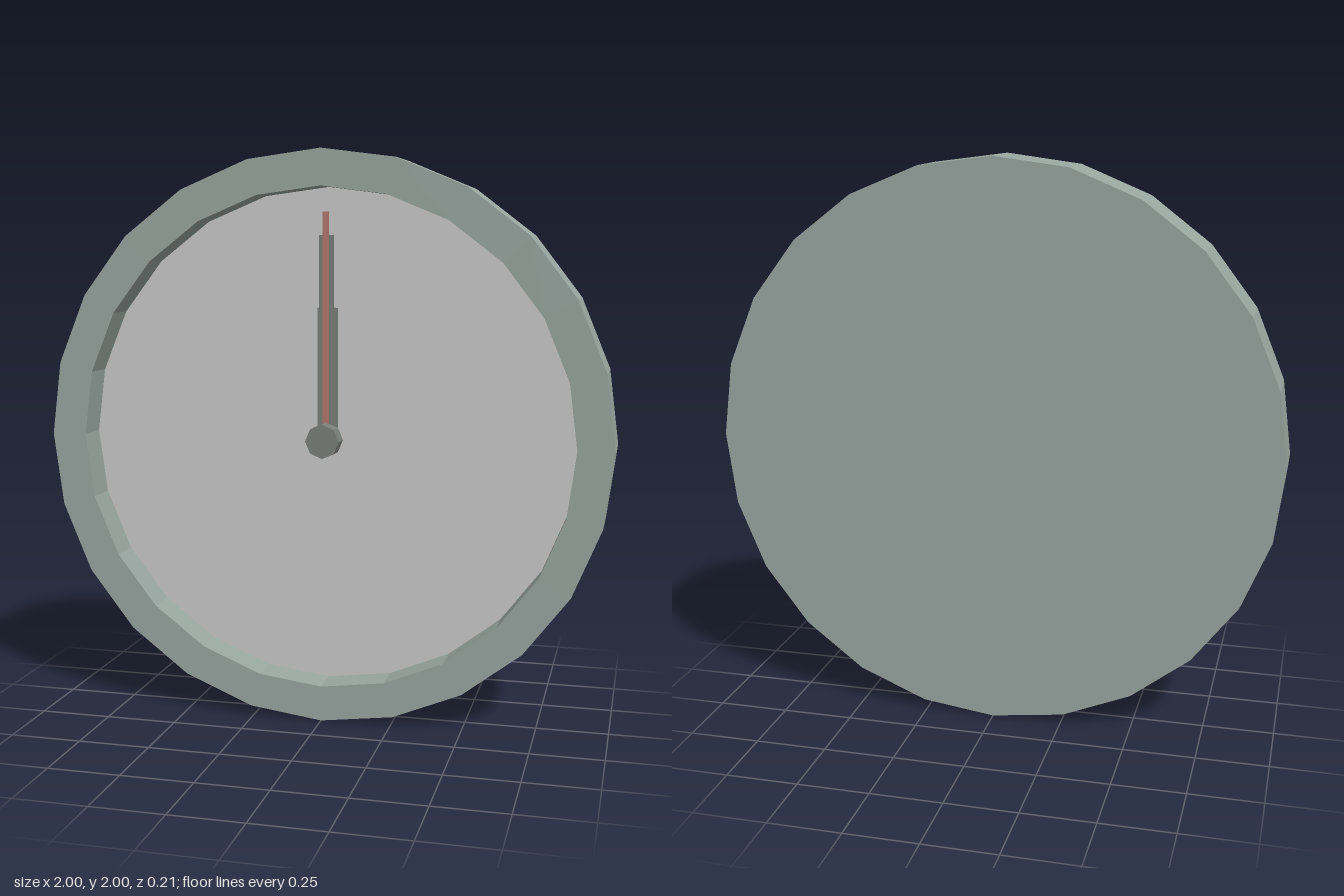
import * as THREE from 'three';

const mat = (color) => new THREE.MeshStandardMaterial({ color, flatShading: true });

export function createModel() {
  const clock = new THREE.Group();
  clock.name = 'wallClock';

  const add = (name, geometry, material, y, z) => {
    const mesh = new THREE.Mesh(geometry, material);
    mesh.name = name;
    mesh.position.set(0, y, z);
    clock.add(mesh);
    return mesh;
  };

  const SIDES = 24, HALF = 0.105, INNER = 0.875, FACE_Z = -0.015;
  const dark = mat(0x7a807c);

  // Casing: closed back, outer wall, front rim and recessed inner wall
  const profile = [[0, -HALF], [1, -HALF], [1, HALF], [INNER, HALF], [INNER, FACE_Z]]
    .map(([r, h]) => new THREE.Vector2(r, h));
  add('casing', new THREE.LatheGeometry(profile, SIDES), mat(0x9aa7a1), 1, 0).rotation.x = Math.PI / 2;

  // Dial at the bottom of the recess
  add('dial', new THREE.CircleGeometry(INNER, SIDES), mat(0xcccccc), 1, FACE_Z);

  // Hands, stacked from the dial outward, all pointing to twelve
  const hands = [
    ['hourHand', 0.07, 0.46, -0.005, 0.012, dark],
    ['minuteHand', 0.05, 0.71, 0.012, 0.028, dark],
    ['secondHand', 0.02, 0.79, 0.028, 0.038, mat(0xb4786e)],
  ];
  for (const [name, width, length, back, front, material] of hands) {
    add(name, new THREE.BoxGeometry(width, length, front - back), material,
      1 + length / 2, (back + front) / 2);
  }

  // Centre hub
  add('hub', new THREE.CylinderGeometry(0.06, 0.06, 0.064, 8), dark, 1, 0.057).rotation.x = Math.PI / 2;

  return clock;
}
